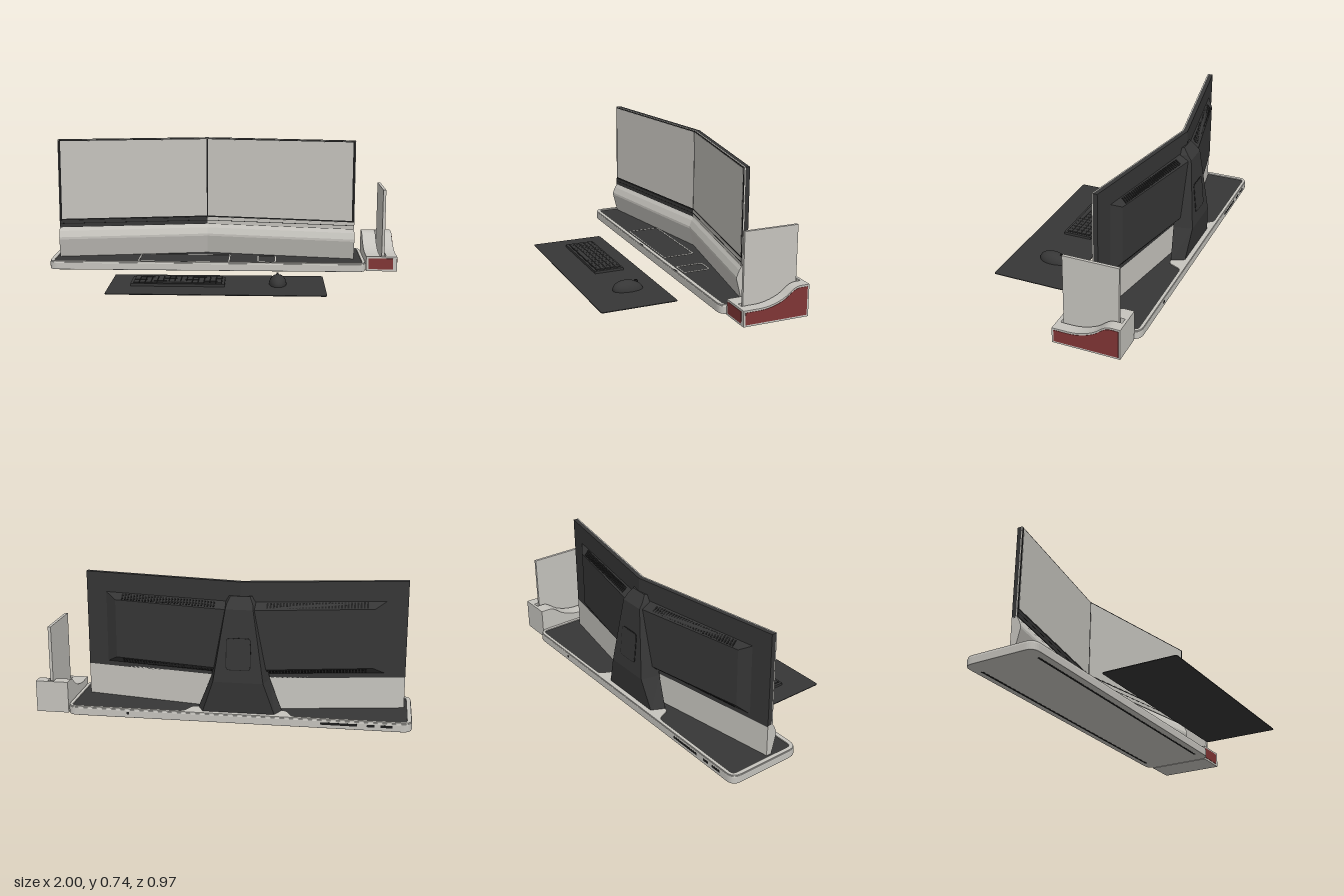
import * as THREE from 'three';
import { mergeGeometries } from 'three/addons/utils/BufferGeometryUtils.js';

const material = (name, color) => Object.assign(new THREE.MeshStandardMaterial({ color }), { name });
const light = material('lightGrey', 0xc6c4be);
const dark = material('darkGrey', 0x363636);
const black = material('black', 0x1c1c1c);
const red = material('darkRed', 0x803535);

const HINGE_X = -0.1, HINGE_Z = -0.35, SLOPE = 0.17, WING = 0.86;

// Box given by its limits on each axis
function box(x0, x1, y0, y1, z0, z1) {
  return new THREE.BoxGeometry(x1 - x0, y1 - y0, z1 - z0)
    .translate((x0 + x1) / 2, (y0 + y1) / 2, (z0 + z1) / 2);
}

// Closed outline with rounded corners
function roundedPoly(points, r, Type = THREE.Shape) {
  const shape = new Type(), n = points.length;
  const pts = points.map(p => new THREE.Vector2(...p));
  pts.forEach((p, i) => {
    const toward = q => q.clone().sub(p).setLength(r).add(p);
    const a = toward(pts[(i + n - 1) % n]), b = toward(pts[(i + 1) % n]);
    if (i) shape.lineTo(a.x, a.y); else shape.moveTo(a.x, a.y);
    shape.quadraticCurveTo(p.x, p.y, b.x, b.y);
  });
  shape.closePath();
  return shape;
}
const rect = (x0, x1, z0, z1) => [[x0, -z1], [x1, -z1], [x1, -z0], [x0, -z0]];

// Plan outline (x, -z) raised from y0 to y1
function slab(shape, y0, y1, bevel = 0) {
  return new THREE.ExtrudeGeometry(shape, {
    depth: y1 - y0 - 2 * bevel, bevelEnabled: bevel > 0, bevelSize: bevel,
    bevelOffset: -bevel, bevelThickness: bevel, bevelSegments: 2, curveSegments: 8,
  }).rotateX(-Math.PI / 2).translate(0, y0 + bevel, 0);
}

// Side outline (-z, y) swept from x0 to x1
function sweepX(shape, x0, x1) {
  return new THREE.ExtrudeGeometry(shape, { depth: x1 - x0, bevelEnabled: false, curveSegments: 16 })
    .rotateY(Math.PI / 2).translate(x0, 0, 0);
}

// Moves vertices by a rule and gives flat faces
function reshape(geo, rule) {
  const g = geo.index ? geo.toNonIndexed() : geo, p = g.attributes.position;
  const v = new THREE.Vector3();
  for (let i = 0; i < p.count; i++) {
    rule(v.fromBufferAttribute(p, i));
    p.setXYZ(i, v.x, v.y, v.z);
  }
  g.computeVertexNormals();
  return g;
}

export function createModel() {
  const model = new THREE.Group();
  const add = (name, geo, mat, parent = model) => {
    const mesh = new THREE.Mesh(geo, mat);
    mesh.name = name;
    parent.add(mesh);
    return mesh;
  };

  // Tray with raised rim and dark inset, notched at the back for the stand
  const inset = [[-0.975, 0.085], [0.8, 0.085], [0.8, 0.465], [0.19, 0.465],
    [0.155, 0.385], [-0.345, 0.385], [-0.38, 0.465], [-0.975, 0.465]];
  add('trayBody', slab(roundedPoly(rect(-1, 0.82, -0.485, -0.06), 0.055), 0, 0.044, 0.005), light);
  const rim = roundedPoly(rect(-0.997, 0.817, -0.482, -0.063), 0.053);
  rim.holes.push(roundedPoly(inset, 0.025, THREE.Path));
  add('trayRim', slab(rim, 0.036, 0.05), light);
  add('trayInset', slab(roundedPoly(inset, 0.025), 0.04, 0.045), dark);
  for (const [x0, x1, z0, z1] of [[-0.49, 0.04, -0.285, -0.095], [0.2, 0.308, -0.255, -0.095]]) {
    const frame = roundedPoly(rect(x0, x1, z0, z1), 0.02);
    frame.holes.push(roundedPoly(rect(x0 + 0.006, x1 - 0.006, z0 + 0.006, z1 - 0.006), 0.016, THREE.Path));
    add('compartmentFrame', slab(frame, 0.044, 0.047), light);
  }
  for (const z of [-0.445, -0.105]) add('footStrip', box(-0.9, 0.72, -0.0, 0.006, z - 0.006, z + 0.006).translate(0, -0.001, 0), black);
  const ports = [[-0.72, -0.53], [-0.81, -0.77], [-0.9, -0.84], [0.48, 0.495]];
  add('rearPorts', mergeGeometries(ports.map(([a, b]) => box(a, b, 0.02, 0.033, -0.486, -0.482))), black);
  add('frontNotches', mergeGeometries([-0.22, 0.26].map(x => box(x - 0.02, x + 0.02, 0.048, 0.0505, -0.071, -0.064))), black);

  // Two screen wings meeting at the hinge line
  for (const side of [-1, 1]) {
    const wing = new THREE.Group();
    wing.name = side < 0 ? 'rightScreen' : 'leftScreen';
    wing.position.set(HINGE_X, 0, HINGE_Z);
    model.add(wing);
    const fold = geo => reshape(geo, v => { v.z += SLOPE * Math.abs(v.x); });
    const panel = (u0, u1, y0, y1, d0, d1) =>
      fold(side > 0 ? box(u0, u1, y0, y1, d0, d1) : box(-u1, -u0, y0, y1, d0, d1));

    add('housing', panel(0, WING, 0.215, 0.735, -0.03, -0.006), dark, wing);
    add('trim', panel(0, WING, 0.215, 0.735, -0.006, 0), light, wing);
    add('bezel', panel(0, WING - 0.003, 0.215, 0.732, 0, 0.0015), black, wing);
    add('display', panel(0.004, WING - 0.015, 0.27, 0.727, 0.0015, 0.003), light, wing);
    add('lowerBar', panel(0, WING - 0.003, 0.222, 0.262, 0.001, 0.005), side < 0 ? dark : light, wing);
    add('barLine', panel(0, WING - 0.003, 0.241, 0.244, 0.005, 0.006), black, wing);

    // Skirt below the screen, bulging forward
    const profile = new THREE.Shape([[0.03, 0.044], [0.03, 0.222], [0, 0.222], [-0.006, 0.212],
      [-0.014, 0.2], [-0.028, 0.165], [-0.028, 0.152], [0, 0.044]].map(p => new THREE.Vector2(...p)).reverse());
    add('skirt', fold(side > 0 ? sweepX(profile, 0, WING) : sweepX(profile, -WING, 0)), light, wing);

    // Tapered bulge on the back
    const uEnd = 0.75, backDepth = u => -0.08 + 0.02 * u / uEnd;
    const bulge = box(side > 0 ? 0 : -uEnd, side > 0 ? uEnd : 0, 0.24, 0.63, -1, -0.029);
    add('backBulge', fold(reshape(bulge, v => {
      if (v.z > -0.5) return;
      v.z = backDepth(Math.abs(v.x));
      v.y += v.y > 0.4 ? -0.035 : 0.035;
      if (Math.abs(v.x) > 0.5) v.x -= side * 0.06;
    })), dark, wing);

    // Vent slits along the upper and lower slopes
    const vents = [];
    for (let i = 0; i < 32; i++) {
      const u = 0.14 + i * 0.0165, d = (backDepth(u) - 0.03) / 2;
      const tilt = Math.atan2(-backDepth(u) - 0.03, 0.035);
      for (const [y, s] of [[0.6125, 1], [0.2575, -1]]) {
        vents.push(new THREE.BoxGeometry(0.009, 0.036, 0.004).rotateX(s * tilt)
          .translate(side * u, y, d - 0.015 + 0.015));
      }
    }
    add('vents', fold(mergeGeometries(vents)), black, wing);
  }

  // Stand: stacked sections of [y, half width, back z, front z]
  const levels = [[0.044, 0.225, -0.455, -0.385], [0.22, 0.155, -0.472, -0.37],
    [0.6, 0.085, -0.43, -0.37], [0.625, 0.08, -0.41, -0.37], [0.66, 0.06, -0.382, -0.37]];
  add('stand', reshape(new THREE.BoxGeometry(1, 4, 1, 1, 4, 1), v => {
    const [y, w, back, front] = levels[Math.round(v.y + 2)];
    v.set(HINGE_X + Math.sign(v.x) * w * (v.z < 0 ? 0.85 : 1), y, v.z < 0 ? back : front);
  }), dark);
  const cover = new THREE.ExtrudeGeometry(
    roundedPoly([[-0.065, -0.085], [0.065, -0.085], [0.065, 0.085], [-0.065, 0.085]], 0.02),
    { depth: 0.004, bevelEnabled: false });
  const hatch = add('standHatch', cover, black);
  hatch.position.set(HINGE_X, 0.37, -0.4575);
  hatch.rotation.x = 0.11;
  const hatchFace = add('standHatchFace', cover.clone().scale(0.95, 0.96, 1), dark);
  hatchFace.position.set(HINGE_X, 0.37, -0.4585);
  hatchFace.rotation.x = 0.11;

  // Dock with a wave-shaped top and a slot through its middle
  const dock = new THREE.Group();
  dock.name = 'dock';
  model.add(dock);
  const wave = m => {
    const s = new THREE.Shape();
    s.moveTo(0.09 + m, m);
    s.lineTo(0.455 - m, m);
    s.lineTo(0.455 - m, 0.171 - m);
    s.lineTo(0.41, 0.171 - m);
    s.bezierCurveTo(0.36, 0.171 - m, 0.35, 0.135 - m, 0.3, 0.113 - m);
    s.bezierCurveTo(0.26, 0.095 - m, 0.22, 0.085 - m, 0.17, 0.085 - m);
    s.lineTo(0.09 + m, 0.085 - m);
    s.closePath();
    return s;
  };
  add('dockInnerSide', sweepX(wave(0), 0.822, 0.902), light, dock);
  add('dockOuterSide', sweepX(wave(0), 0.938, 0.998), light, dock);
  add('slotFloor', box(0.9, 0.94, 0, 0.06, -0.455, -0.09), light, dock);
  add('slotFront', box(0.9, 0.94, 0, 0.085, -0.11, -0.09), light, dock);
  add('slotBack', box(0.9, 0.94, 0, 0.171, -0.455, -0.44), light, dock);
  add('sidePanel', sweepX(wave(0.01), 0.995, 1), red, dock);
  add('frontPanel', box(0.835, 0.975, 0.012, 0.074, -0.092, -0.088), red, dock);
  add('uprightPlate', box(0.913, 0.929, 0.06, 0.465, -0.42, -0.122), light, dock);

  // Desk mat
  add('mat', slab(roundedPoly(rect(-0.595, 0.565, 0.058, 0.482), 0.015), 0, 0.004), dark);

  // Keyboard
  const keyboard = new THREE.Group();
  keyboard.name = 'keyboard';
  model.add(keyboard);
  add('keyboardBase', box(-0.48, 0.026, 0.004, 0.018, 0.148, 0.317), dark, keyboard);
  add('keyBed', box(-0.465, 0.012, 0.018, 0.0195, 0.16, 0.305), black, keyboard);
  const keys = [];
  for (let row = 0; row < 5; row++) {
    for (let col = 0; col < 15; col++) {
      if (row === 4 && col > 3 && col < 10) continue;
      const x = -0.464 + col * 0.0317, z = 0.161 + row * 0.0288;
      keys.push(box(x, x + 0.029, 0.019, 0.024, z, z + 0.026));
    }
  }
  keys.push(box(-0.337, -0.15, 0.019, 0.024, 0.2762, 0.3022));
  add('keys', mergeGeometries(keys), dark, keyboard);

  // Mouse
  const mouse = new THREE.Group();
  mouse.name = 'mouse';
  mouse.position.set(0.312, 0.004, 0.237);
  model.add(mouse);
  const shell = new THREE.SphereGeometry(1, 32, 16, 0, Math.PI * 2, 0, Math.PI / 2).scale(0.047, 0.053, 0.085);
  const p = shell.attributes.position;
  for (let i = 0; i < p.count; i++) p.setZ(i, p.getZ(i) + p.getY(i) * 0.25);
  shell.computeVertexNormals();
  add('mouseShell', shell, dark, mouse);
  add('mouseWheel', new THREE.CylinderGeometry(0.012, 0.012, 0.01, 16).rotateZ(Math.PI / 2)
    .translate(0, 0.038, -0.046), black, mouse);
  return model;
}
